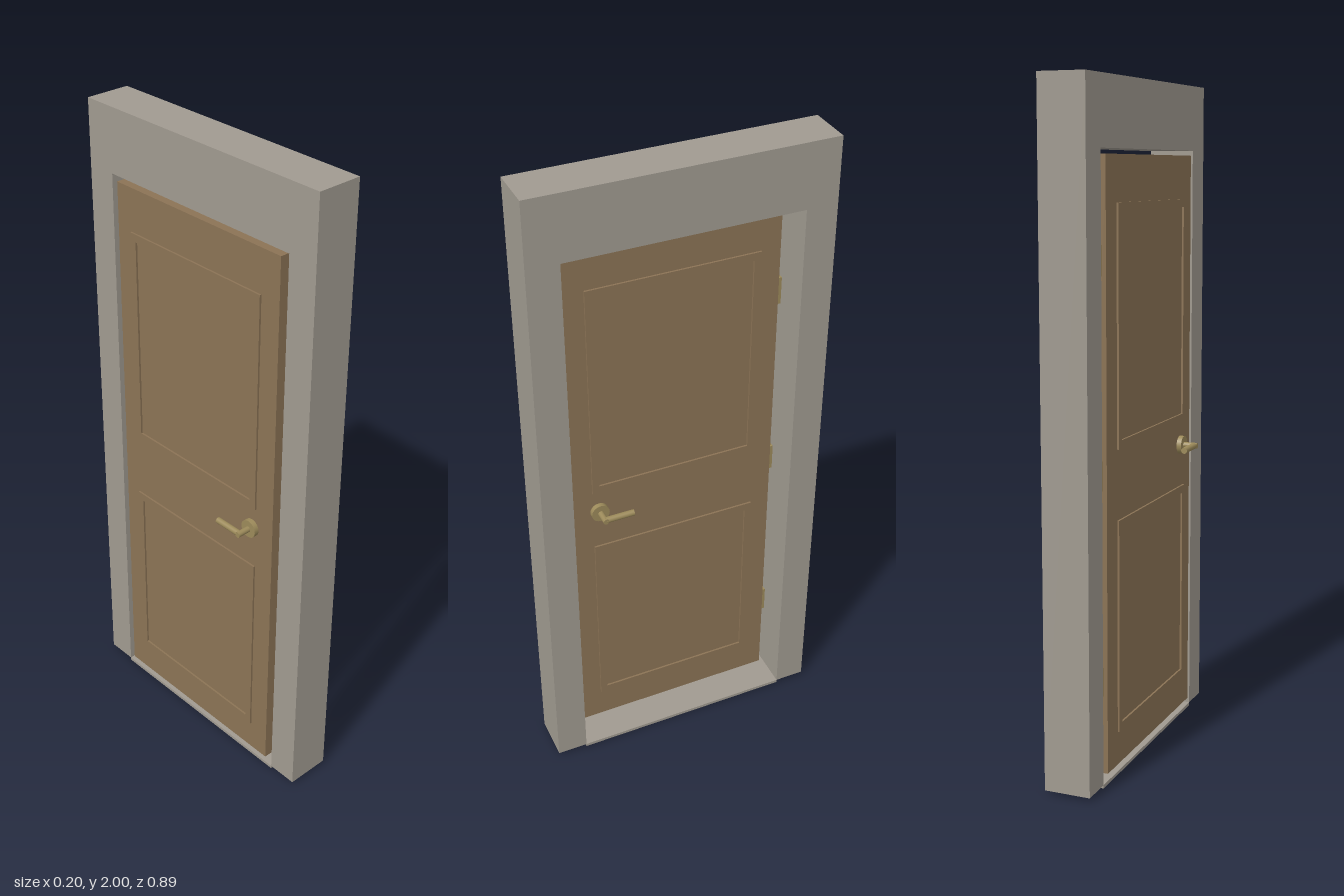
import * as THREE from 'three';

const mat = (name, color) => Object.assign(new THREE.MeshStandardMaterial({ color }), { name });

export function createModel() {
  const plaster = mat('warm grey surround', 0xa09a90);
  const wood = mat('brown wood', 0x8b7355);
  const brass = mat('dull brass', 0x9c8a5a);
  const model = new THREE.Group();
  model.name = 'door';

  const add = (parent, name, geometry, material, x = 0, y = 0, z = 0) => {
    const mesh = new THREE.Mesh(geometry, material);
    mesh.name = name;
    mesh.position.set(x, y, z);
    parent.add(mesh);
    return mesh;
  };
  const outline = (pts) => pts.map(([z, y]) => new THREE.Vector2(z, y));
  // Extrudes a z-y outline along x, starting at x = 0
  const extrude = (shape, depth) =>
    new THREE.ExtrudeGeometry(shape, { depth, bevelEnabled: false }).rotateY(Math.PI / 2);

  // Surround: two posts and a lintel in one piece, over a thin threshold
  const surround = new THREE.Shape(outline([
    [-0.445, 0.01], [-0.35, 0.01], [-0.35, 1.805], [0.35, 1.805],
    [0.35, 0.01], [0.445, 0.01], [0.445, 2], [-0.445, 2],
  ]));
  add(model, 'frame', extrude(surround, 0.14), plaster, -0.041);
  add(model, 'threshold', new THREE.BoxGeometry(0.14, 0.01, 0.7), plaster, 0.029, 0.005);

  // Door leaf
  const leafX = -0.016, half = 0.028;
  add(model, 'leaf', new THREE.BoxGeometry(half * 2, 1.755, 0.65), wood, leafX, 0.9125);

  // Panels, mouldings and lever handle, on both faces of the leaf
  for (const side of [-1, 1]) {
    const face = new THREE.Group();
    face.name = side < 0 ? 'outerFace' : 'innerFace';
    face.position.x = leafX;
    model.add(face);

    for (const [bottom, top] of [[0.14, 0.77], [0.975, 1.66]]) {
      const h = top - bottom, y = (top + bottom) / 2;
      add(face, 'panel', new THREE.BoxGeometry(0.004, h - 0.046, 0.484), wood, side * (half + 0.002), y);
      const ring = new THREE.Shape(outline([
        [-0.262, bottom], [0.262, bottom], [0.262, top], [-0.262, top],
      ]));
      ring.holes.push(new THREE.Path(outline([
        [-0.24, bottom + 0.024], [-0.24, top - 0.024], [0.24, top - 0.024], [0.24, bottom + 0.024],
      ])));
      add(face, 'moulding', extrude(ring, 0.006), wood, side * (half + 0.007) - 0.003);
    }

    const rod = (r, length) => new THREE.CylinderGeometry(r, r, length, 24);
    const handle = new THREE.Group();
    handle.name = 'handle';
    handle.position.set(0, 0.9, 0.241);
    face.add(handle);
    add(handle, 'rose', rod(0.028, 0.015).rotateZ(Math.PI / 2), brass, side * (half + 0.0075));
    add(handle, 'stem', rod(0.009, 0.056).rotateZ(Math.PI / 2), brass, side * (half + 0.03));
    add(handle, 'lever', rod(0.0095, 0.09).rotateX(Math.PI / 2), brass, side * (half + 0.049), 0, -0.046);
  }

  // Hinges along the edge away from the handle
  for (const y of [0.31, 0.91, 1.505]) {
    add(model, 'hinge', new THREE.BoxGeometry(0.03, 0.085, 0.018), brass, leafX, y, -0.332);
  }
  return model;
}
